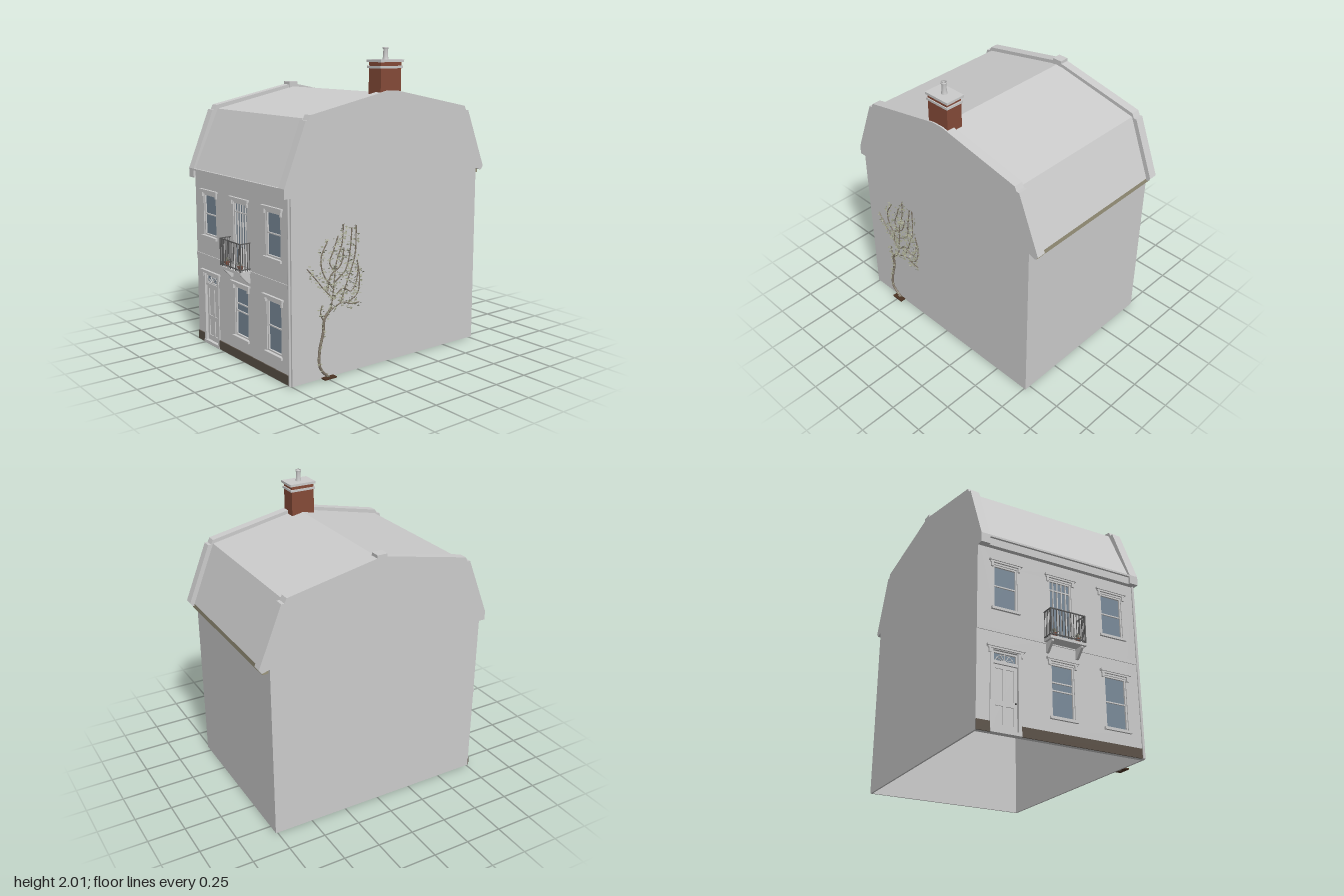
import * as THREE from 'three';
import { mergeGeometries } from 'three/addons/utils/BufferGeometryUtils.js';

const material = (color, side = THREE.FrontSide) => new THREE.MeshStandardMaterial({ color, side });
const grey = material(0xcccccc), sheetGrey = material(0xcccccc, THREE.DoubleSide);
const brick = material(0x854a38), plinthBrown = material(0x5a5046), glassBlue = material(0x788998);
const iron = material(0x5c5c5c), boards = material(0x4a3222, THREE.DoubleSide), plaster = material(0x8e9a84, THREE.DoubleSide);
const gutterTone = material(0x9a947c), bark = material(0x857b6d), leafTone = material(0x9a9c86, THREE.DoubleSide);
const FRONT = 0.755, BACK = -0.765, LEFT = 0.54, RIGHT = -0.585;

// Box between two corners
const block = (x0, x1, y0, y1, z0, z1) => new THREE.BoxGeometry(x1 - x0, y1 - y0, z1 - z0)
  .translate((x0 + x1) / 2, (y0 + y1) / 2, (z0 + z1) / 2);

// Profile in (z, y), extruded along x from x0 to x1
function profile(points, x0, x1) {
  const shape = new THREE.Shape(points.map(p => new THREE.Vector2(...p)));
  return new THREE.ExtrudeGeometry(shape, { depth: x1 - x0, bevelEnabled: false }).rotateY(-Math.PI / 2).translate(x1, 0, 0);
}

// Thin folded sheet following (z, y) points
function sheet(points, x0, x1) {
  const pos = [];
  for (let i = 0; i < points.length - 1; i++) {
    const [[z0, y0], [z1, y1]] = [points[i], points[i + 1]];
    pos.push(x0, y0, z0, x1, y0, z0, x1, y1, z1, x0, y0, z0, x1, y1, z1, x0, y1, z1);
  }
  const g = new THREE.BufferGeometry();
  g.setAttribute('position', new THREE.Float32BufferAttribute(pos, 3));
  g.computeVertexNormals();
  return g;
}

function add(parent, name, geometry, mat = grey) {
  const mesh = new THREE.Mesh(Array.isArray(geometry) ? mergeGeometries(geometry) : geometry, mat);
  mesh.name = name;
  parent.add(mesh);
  return mesh;
}

function group(parent, name) {
  const g = new THREE.Group();
  g.name = name;
  parent.add(g);
  return g;
}

// Flat hood on two end brackets
function hood(parent, cx, w, y) {
  const parts = [block(cx - w, cx + w, y - 0.012, y, FRONT, 0.773), block(cx - w + 0.008, cx + w - 0.008, y - 0.022, y - 0.012, FRONT, 0.766)];
  for (const s of [-1, 1]) parts.push(block(cx + s * (w - 0.02) - 0.007, cx + s * (w - 0.02) + 0.007, y - 0.05, y - 0.022, FRONT, 0.766));
  add(parent, 'hood', parts);
}

// Glazed opening with frame and glazing bars
function glazing(parent, cx, w, y0, y1, rails, uprights = []) {
  const f = 0.01, z0 = FRONT - 0.025, z1 = FRONT - 0.006;
  add(parent, 'glass', block(cx - w, cx + w, y0, y1, z0, z0 + 0.008), glassBlue);
  const bars = [block(cx - w, cx - w + f, y0, y1, z0, z1), block(cx + w - f, cx + w, y0, y1, z0, z1),
    block(cx - w, cx + w, y0, y0 + f, z0, z1), block(cx - w, cx + w, y1 - f, y1, z0, z1)];
  for (const y of rails) bars.push(block(cx - w, cx + w, y - 0.004, y + 0.004, z0, z1 - 0.003));
  for (const x of uprights) bars.push(block(cx + x - 0.003, cx + x + 0.003, y0, y1, z0, z1 - 0.003));
  add(parent, 'frame', bars);
}

function sashWindow(parent, cx, y0, y1, rails) {
  const g = group(parent, 'sashWindow');
  glazing(g, cx, 0.08, y0, y1, rails);
  add(g, 'sill', block(cx - 0.095, cx + 0.095, y0 - 0.016, y0, FRONT - 0.03, 0.77));
  hood(g, cx, 0.11, y1 + 0.033);
}

function createWalls(house) {
  // Front wall with openings: centre, half width, bottom, top
  const openings = [[-0.4, 0.08, 0.755, 1.035], [0.355, 0.08, 0.755, 1.035], [-0.02, 0.08, 0.625, 1.035],
    [-0.02, 0.08, 0.155, 0.485], [0.355, 0.08, 0.155, 0.485], [-0.4, 0.095, 0.005, 0.49]];
  const rect = (T, x0, x1, y0, y1) => new T([[x0, y0], [x1, y0], [x1, y1], [x0, y1]].map(p => new THREE.Vector2(...p)));
  const shape = rect(THREE.Shape, RIGHT, LEFT, 0, 1.2);
  for (const [cx, w, y0, y1] of openings) shape.holes.push(rect(THREE.Path, cx - w, cx + w, y0, y1));
  add(house, 'frontWall', new THREE.ExtrudeGeometry(shape, { depth: 0.03, bevelEnabled: false }).translate(0, 0, FRONT - 0.03));
  add(house, 'backWall', block(RIGHT, LEFT, 0, 1.19, BACK, BACK + 0.012));

  // Gable ends with raised copings
  const crest = [[0.8, 1.14], [0.8, 1.2], [0.645, 1.585], [0.625, 1.585], [0.61, 1.615], [0.03, 1.735],
    [-0.05, 1.735], [-0.645, 1.615], [-0.66, 1.585], [-0.68, 1.585], [-0.835, 1.2], [-0.815, 1.175]];
  const underside = [[BACK, 1.19], [-0.63, 1.55], [-0.01, 1.68], [0.6, 1.55], [0.735, 1.2], [0.735, 1.14]];
  const outline = [[FRONT, 0], [FRONT, 1.14], ...crest, [BACK, 1.19], [BACK, 0]];
  for (const [x, inner] of [[RIGHT, RIGHT + 0.06], [LEFT + 0.005, LEFT - 0.055]]) {
    const out = x - Math.sign(x) * 0.012;
    add(house, 'gableWall', profile(outline, Math.min(x, out), Math.max(x, out)));
    add(house, 'gableCoping', profile([...crest, ...underside], Math.min(x, inner), Math.max(x, inner)));
  }
  add(house, 'ridgeBlock', block(RIGHT, RIGHT + 0.065, 1.7, 1.755, -0.045, 0.025));

  // Roof, cornice, bands and gutter
  add(house, 'roof', sheet([[0.785, 1.2], [0.605, 1.59], [-0.01, 1.72], [-0.645, 1.59], [-0.805, 1.19]], RIGHT + 0.01, LEFT - 0.01), sheetGrey);
  add(house, 'cornice', [block(RIGHT, LEFT, 1.14, 1.188, 0.74, 0.785), block(RIGHT, LEFT, 1.188, 1.2, 0.74, 0.8)]);
  add(house, 'stringCourse', block(RIGHT, LEFT, 0.598, 0.62, FRONT, 0.76));
  add(house, 'backGutter', block(RIGHT + 0.02, LEFT - 0.02, 1.155, 1.19, -0.805, BACK), gutterTone);
  add(house, 'plinth', [block(RIGHT, -0.5, 0, 0.06, FRONT, 0.762), block(-0.3, 0.52, 0, 0.06, FRONT, 0.762)], plinthBrown);
  add(house, 'drainpipe', new THREE.CylinderGeometry(0.008, 0.008, 1.14, 10).translate(0.529, 0.57, FRONT + 0.006));
}

function createDoor(house) {
  const g = group(house, 'frontDoor');
  glazing(g, -0.4, 0.08, 0.42, 0.485, []);
  const fan = [0.5, 1.05, 1.57, 2.09, 2.64].map(a => new THREE.BoxGeometry(0.06, 0.004, 0.006).translate(0.03, 0, 0)
    .rotateZ(a).scale(1, 0.8, 1).translate(-0.4, 0.427, FRONT - 0.012));
  fan.push(new THREE.TorusGeometry(0.058, 0.003, 4, 16, Math.PI).scale(1, 0.75, 1).translate(-0.4, 0.427, FRONT - 0.012));
  add(g, 'fanlightBars', fan);
  add(g, 'leaf', block(-0.485, -0.315, 0.02, 0.41, FRONT - 0.03, FRONT - 0.018));
  // Stiles and rails leave four sunken panels
  const z0 = FRONT - 0.018, z1 = FRONT - 0.012;
  const rails = [[0.02, 0.055], [0.165, 0.195], [0.385, 0.42]].map(([a, b]) => block(-0.485, -0.315, a, b, z0, z1));
  const stiles = [[-0.485, -0.46], [-0.41, -0.39], [-0.34, -0.315]].map(([a, b]) => block(a, b, 0.02, 0.41, z0, z1));
  add(g, 'panelFrame', [...rails, ...stiles]);
  add(g, 'surround', [block(-0.5, -0.48, 0, 0.49, FRONT - 0.03, 0.762), block(-0.32, -0.3, 0, 0.49, FRONT - 0.03, 0.762),
    block(-0.48, -0.32, 0.408, 0.424, FRONT - 0.03, FRONT)]);
  add(g, 'step', block(-0.5, -0.3, 0, 0.02, FRONT - 0.03, 0.766));
  add(g, 'knob', new THREE.SphereGeometry(0.006, 10, 8).translate(-0.332, 0.19, FRONT - 0.005), iron);
  hood(g, -0.4, 0.123, 0.515);
}

function createBalcony(house) {
  const g = group(house, 'balcony');
  glazing(g, -0.02, 0.08, 0.625, 1.035, [0.97], [-0.045, -0.015, 0.015, 0.045]);
  hood(g, -0.02, 0.11, 1.068);
  add(g, 'slab', block(-0.145, 0.105, 0.605, 0.622, FRONT, 0.835));
  for (const x of [-0.13, 0.075]) add(g, 'bracket', profile([[FRONT, 0.54], [FRONT + 0.012, 0.54], [0.82, 0.595], [0.82, 0.605], [FRONT, 0.605]], x, x + 0.016));
  // Railing on three sides
  const bars = [];
  for (const y of [0.635, 0.8]) {
    bars.push(block(-0.142, 0.102, y - 0.003, y + 0.003, 0.827, 0.833));
    for (const x of [-0.139, 0.099]) bars.push(block(x - 0.003, x + 0.003, y - 0.003, y + 0.003, FRONT, 0.83));
  }
  const bar = (x, z, r = 0.0018) => bars.push(new THREE.BoxGeometry(2 * r, 0.18, 2 * r).translate(x, 0.712, z));
  for (let i = 0; i <= 12; i++) bar(-0.139 + 0.238 * i / 12, 0.83, i % 12 ? 0.0018 : 0.004);
  for (const x of [-0.139, 0.099]) for (let i = 0; i < 4; i++) bar(x, 0.762 + 0.017 * i);
  add(g, 'railing', bars, iron);
  // Potted plants
  for (const x of [-0.1, 0.06]) {
    add(g, 'flowerPot', new THREE.CylinderGeometry(0.016, 0.011, 0.03, 12).translate(x, 0.637, 0.808), brick);
    const leaves = [];
    for (let i = 0; i < 12; i++) leaves.push(new THREE.CircleGeometry(0.007, 4).scale(0.6, 2.2, 1).translate(0, 0.02, 0)
      .rotateX(0.25 + 0.25 * (i % 4)).rotateY(i * 2.4).translate(x, 0.648, 0.808));
    add(g, 'pottedPlant', leaves, leafTone);
  }
}

function createChimney(house) {
  const g = group(house, 'chimney');
  add(g, 'stack', block(0.42, 0.535, 1.68, 1.91, -0.09, 0.075), brick);
  add(g, 'band', block(0.414, 0.541, 1.87, 1.885, -0.098, 0.083));
  add(g, 'cap', block(0.41, 0.545, 1.908, 1.924, -0.105, 0.085));
  const pot = [[0.021, 1.92], [0.016, 1.94], [0.014, 1.985], [0.019, 1.99], [0.019, 2], [0.011, 2], [0.011, 1.95]];
  add(g, 'chimneyPot', new THREE.LatheGeometry(pot.map(p => new THREE.Vector2(...p)), 16).translate(0.478, 0, -0.01));
}

// Shallow rooms behind the front windows
function createRooms(house) {
  const g = group(house, 'rooms');
  add(g, 'groundFloorBoards', block(-0.2, 0.52, 0.09, 0.1, 0.59, 0.72), boards);
  add(g, 'upperFloorBoards', block(-0.55, 0.52, 0.575, 0.585, 0.59, 0.72), boards);
  for (const [x0, x1, y0, y1] of [[-0.2, 0.16, 0.1, 0.575], [0.16, 0.52, 0.1, 0.575], [-0.55, -0.2, 0.585, 1.13], [-0.2, 0.16, 0.585, 1.13], [0.16, 0.52, 0.585, 1.13]])
    add(g, 'roomWalls', [block(x0, x1, y0, y1, 0.59, 0.596), block(x0, x0 + 0.006, y0, y1, 0.59, 0.72)], plaster);
}

// Climbing plant on the left side wall, branches given as (z, y)
function createClimber(house) {
  const g = group(house, 'climbingPlant');
  let seed = 7;
  const rand = () => (seed = (seed * 16807) % 2147483647) / 2147483647;
  const branches = [
    [[0.49, 0], [0.56, 0.08], [0.56, 0.18], [0.53, 0.3], [0.525, 0.38], [0.47, 0.44]],
    [[0.525, 0.36], [0.55, 0.42], [0.54, 0.47]],
    [[0.47, 0.43], [0.38, 0.46], [0.32, 0.44], [0.255, 0.44]],
    [[0.47, 0.44], [0.45, 0.56], [0.43, 0.72], [0.39, 0.83], [0.38, 0.95]],
    [[0.46, 0.5], [0.53, 0.57], [0.58, 0.63], [0.65, 0.71]],
    [[0.45, 0.55], [0.53, 0.66], [0.55, 0.76], [0.5, 0.86]],
    [[0.4, 0.46], [0.34, 0.6], [0.29, 0.74], [0.28, 0.93]],
    [[0.34, 0.45], [0.27, 0.5], [0.25, 0.6], [0.27, 0.71]],
    [[0.44, 0.6], [0.36, 0.66], [0.33, 0.78], [0.31, 0.92]],
    [[0.44, 0.66], [0.48, 0.72], [0.45, 0.8], [0.42, 0.88]],
    [[0.45, 0.5], [0.38, 0.55], [0.32, 0.52], [0.28, 0.56], [0.26, 0.66]],
    [[0.5, 0.55], [0.48, 0.64], [0.4, 0.7], [0.37, 0.8]]];
  const stems = [], leaves = [];
  branches.forEach((points, n) => {
    const curve = new THREE.CatmullRomCurve3(points.map(([z, y]) => new THREE.Vector3(0.552 + 0.008 * rand(), y, z)));
    stems.push(new THREE.TubeGeometry(curve, 24, n ? 0.004 : 0.009, 5));
    const count = Math.round(curve.getLength() * (n ? 170 : 110));
    for (let i = 0; i < count; i++) {
      const p = curve.getPoint(rand()), spread = n ? 0.05 : 0.022;
      leaves.push(new THREE.CircleGeometry(0.008 + 0.004 * rand(), 4).scale(1, 0.6, 1).rotateX(rand() * 6.3).rotateY(0.6 + 1.9 * rand())
        .translate(0.554 + 0.012 * rand(), Math.max(0.012, p.y + (rand() - 0.5) * spread), p.z + (rand() - 0.5) * spread));
    }
  });
  add(g, 'stems', stems, bark);
  add(g, 'leaves', leaves, leafTone);
  add(g, 'soilBed', block(0.545, 0.585, 0, 0.008, 0.45, 0.54), boards);
}

export function createModel() {
  const house = new THREE.Group();
  house.name = 'townHouse';
  createWalls(house);
  for (const x of [-0.4, 0.355]) sashWindow(house, x, 0.755, 1.035, [0.9]);
  sashWindow(house, -0.02, 0.155, 0.485, [0.32, 0.37]);
  sashWindow(house, 0.355, 0.155, 0.485, [0.32]);
  createDoor(house);
  createBalcony(house);
  createChimney(house);
  createRooms(house);
  createClimber(house);
  return house;
}
